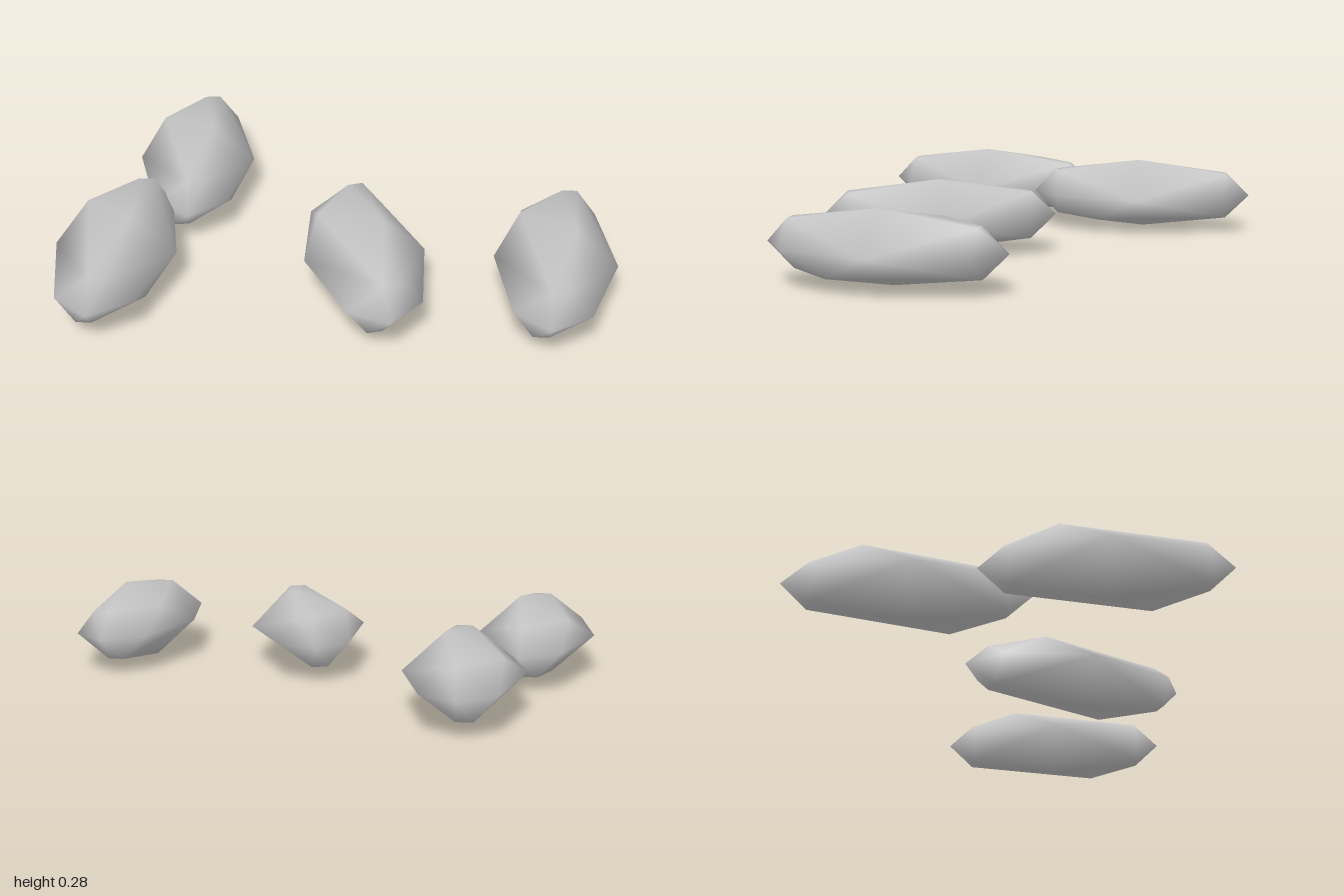
import * as THREE from 'three';
import { ConvexGeometry } from 'three/addons/geometries/ConvexGeometry.js';
import { mergeVertices } from 'three/addons/utils/BufferGeometryUtils.js';

// Faceted long pebble: half of its corners, the rest by point reflection
function pebbleGeometry() {
  const half = [
    [-0.035, 0, 0.427],                                                    // tip
    [0.107, 0, 0.335], [-0.16, 0, 0.323],                                  // side shoulders
    [-0.035, 0.09, 0.335], [0.025, 0.09, 0.335],                           // upper shoulder
    [-0.09, -0.09, 0.335], [-0.035, -0.09, 0.335],                         // lower shoulder
    [0.218, -0.004, 0.015], [0.065, 0.141, 0.008], [-0.125, 0.09, -0.17],  // waist
  ];
  const points = half.flatMap(([x, y, z]) => [
    new THREE.Vector3(x, y, z),
    new THREE.Vector3(-x, -y, -z),
  ]);
  const hull = new ConvexGeometry(points);
  hull.deleteAttribute('normal');
  const smooth = mergeVertices(hull, 1e-4);
  smooth.computeVertexNormals();
  return smooth;
}

export function createModel() {
  const model = new THREE.Group();
  model.name = 'pebbles';
  const stone = new THREE.MeshStandardMaterial({ color: 0xc4c4c4 });
  stone.name = 'stone grey';
  const geometry = pebbleGeometry();

  // Placement: x, z, turn in degrees
  const places = [
    ['rightPebble', -0.782, 0.324, 0],
    ['backPebble', -0.572, -0.328, 6.9],
    ['middlePebble', 0.105, 0.322, 19],
    ['leftPebble', 0.779, 0.324, 0],
  ];
  for (const [name, x, z, turn] of places) {
    const pebble = new THREE.Mesh(geometry, stone);
    pebble.name = name;
    pebble.position.set(x, 0.143, z);
    pebble.rotation.y = THREE.MathUtils.degToRad(turn);
    model.add(pebble);
  }
  return model;
}
